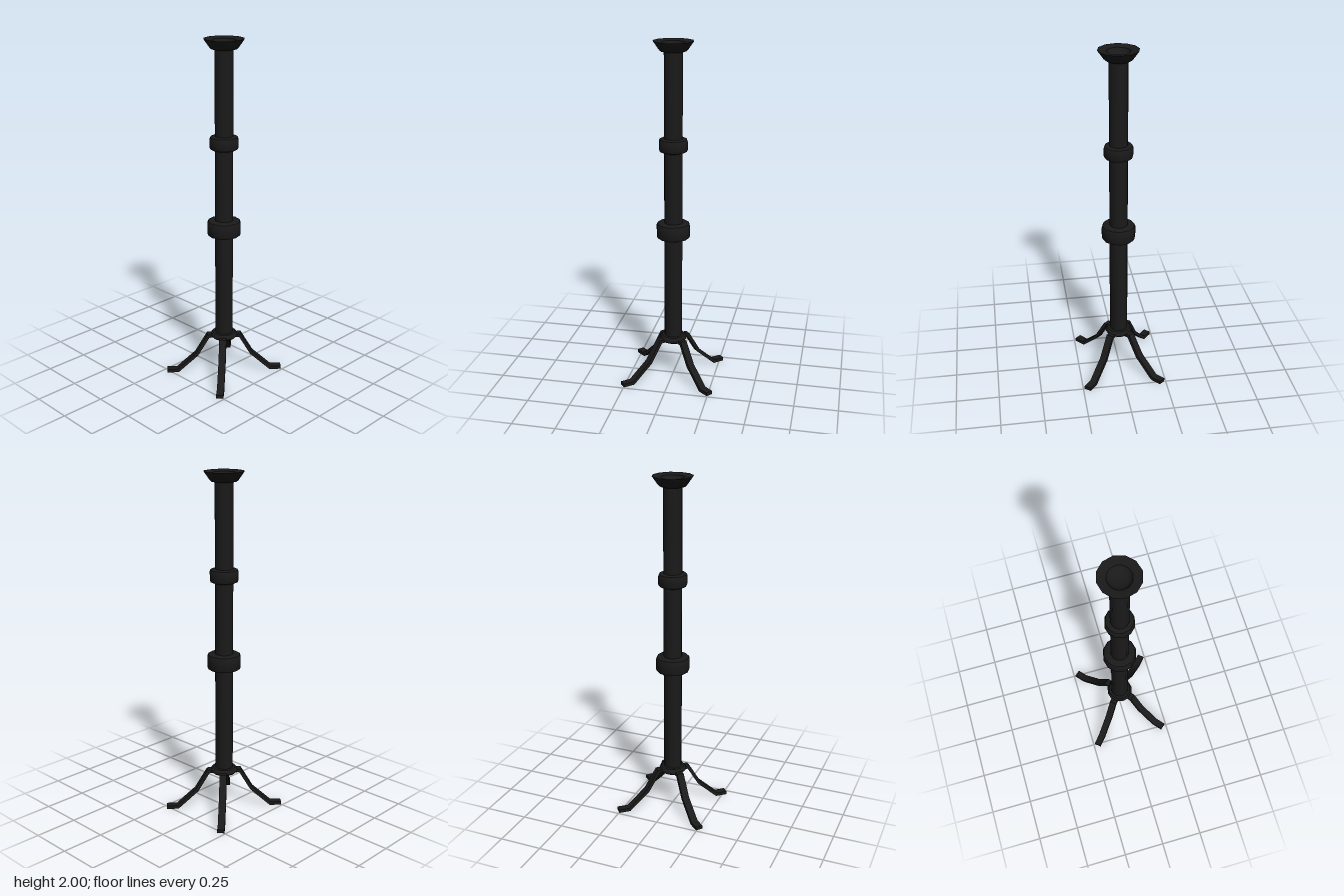
import * as THREE from 'three';
import { toCreasedNormals } from 'three/addons/utils/BufferGeometryUtils.js';

const iron = new THREE.MeshStandardMaterial({ color: 0x1a1a1a });

function addPart(group, name, geometry) {
  const mesh = new THREE.Mesh(toCreasedNormals(geometry, 0.75), iron);
  mesh.name = name;
  group.add(mesh);
  return mesh;
}

// Twelve-sided turned part from [radius, height] pairs, listed bottom to top
function turned(profile) {
  return new THREE.LatheGeometry(profile.map(([r, y]) => new THREE.Vector2(r, y)), 12);
}

// Collar with rounded edges around the pole
function collar(radius, y0, y1) {
  const b = 0.018, c = b * 0.3;
  return turned([
    [0.045, y0], [radius - b, y0], [radius - c, y0 + c], [radius, y0 + b],
    [radius, y1 - b], [radius - c, y1 - c], [radius - b, y1], [0.045, y1],
  ]);
}

// Flat bar bent along a centre line in the radial plane
function bentBar(path, thickness, width) {
  const pts = path.map(([x, y]) => new THREE.Vector2(x, y));
  const upper = [], lower = [];
  pts.forEach((p, i) => {
    const a = p.clone().sub(pts[Math.max(i - 1, 0)]).normalize();
    const b = pts[Math.min(i + 1, pts.length - 1)].clone().sub(p).normalize();
    const t = a.clone().add(b).normalize();
    const mitre = thickness / 2 / t.dot(i === 0 ? b : a);
    const n = new THREE.Vector2(-t.y, t.x).multiplyScalar(mitre);
    upper.push(p.clone().add(n));
    lower.unshift(p.clone().sub(n));
  });
  const shape = new THREE.Shape([...upper, ...lower]);
  const geometry = new THREE.ExtrudeGeometry(shape, { depth: width, bevelEnabled: false });
  return geometry.translate(0, 0, -width / 2);
}

export function createModel() {
  const group = new THREE.Group();
  group.name = 'candleStand';

  // Pole
  addPart(group, 'pole', turned([[0, 0.225], [0.053, 0.225], [0.053, 1.955], [0, 1.955]]));

  // Two collars
  addPart(group, 'lowerCollar', collar(0.098, 0.872, 0.967));
  addPart(group, 'upperCollar', collar(0.083, 1.383, 1.462));

  // Hub joining the legs
  addPart(group, 'legHub', turned([
    [0, 0.225], [0.07, 0.225], [0.08, 0.235], [0.078, 0.248], [0.068, 0.26], [0.045, 0.262],
  ]));

  // Flared cup with a shallow candle socket
  addPart(group, 'candleCup', turned([
    [0.045, 1.942], [0.07, 1.944], [0.08, 1.952], [0.114, 2],
    [0.066, 1.992], [0.058, 1.972], [0.04, 1.96], [0, 1.957],
  ]));

  // Four splayed legs
  const legPath = [[0.03, 0.235], [0.095, 0.235], [0.165, 0.115], [0.28, 0.01], [0.345, 0.01]];
  const spread = THREE.MathUtils.degToRad(41);
  [spread, Math.PI - spread, Math.PI + spread, -spread].forEach((angle) => {
    addPart(group, 'leg', bentBar(legPath, 0.02, 0.042)).rotation.y = angle;
  });

  return group;
}
